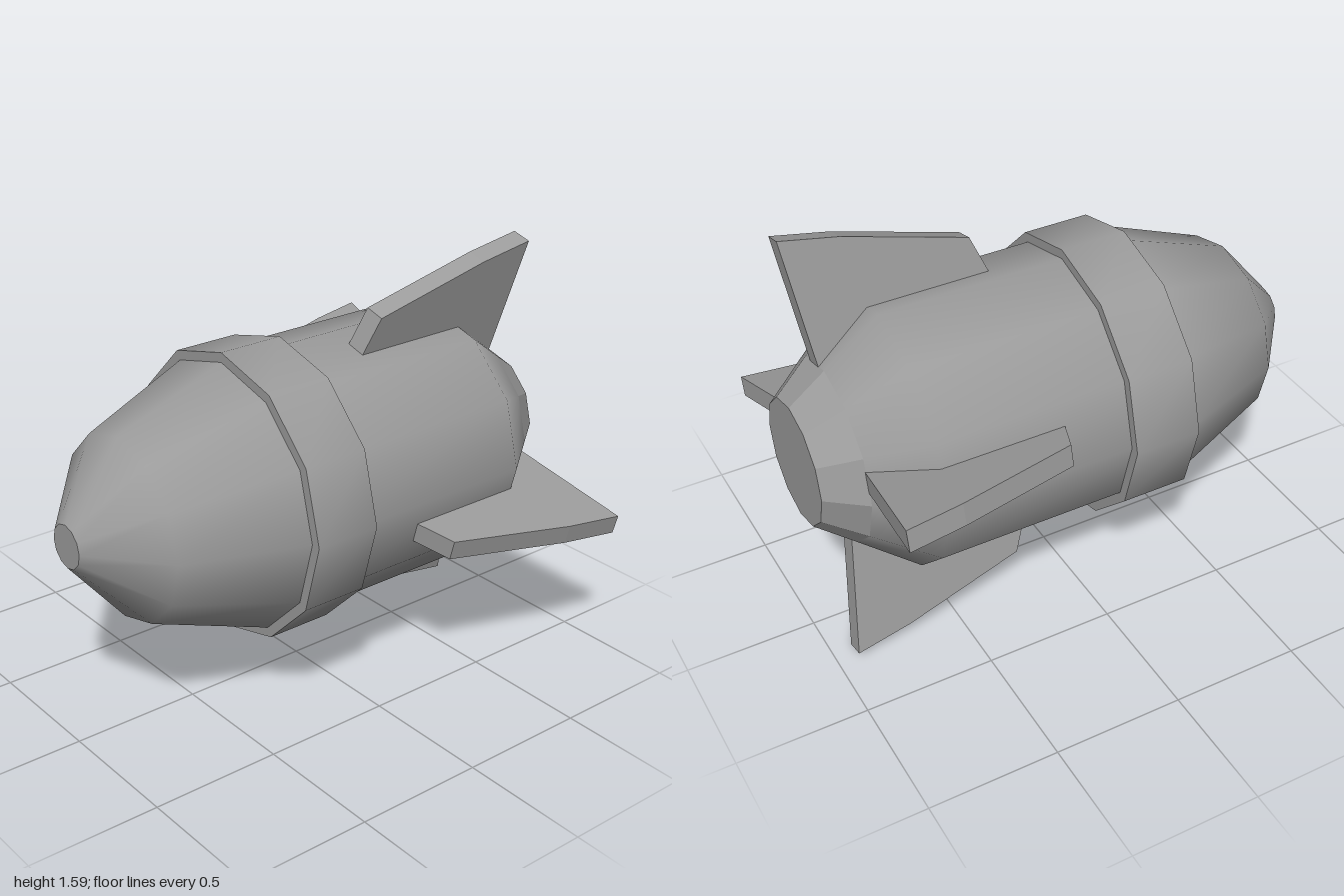
import * as THREE from 'three';
import { toCreasedNormals } from 'three/addons/utils/BufferGeometryUtils.js';

const SIDES = 12;
const AXIS_Y = 0.793;
const FIN_THICKNESS = 0.08;

// Twelve-sided surface turned about the z axis; profile is [radius, z] from back to front
function turned(profile) {
  const points = profile.map(([r, z]) => new THREE.Vector2(r, z));
  return new THREE.LatheGeometry(points, SIDES).rotateX(Math.PI / 2);
}

// Flat disc closing one end; facing is 1 for the front, -1 for the back
function cap(radius, z, facing) {
  const disc = new THREE.CircleGeometry(radius, SIDES);
  if (facing < 0) disc.rotateY(Math.PI);
  return disc.translate(0, 0, z);
}

export function createModel() {
  const material = new THREE.MeshStandardMaterial({ color: 0x9b9b9b });
  const model = new THREE.Group();
  model.name = 'finnedBomb';

  const body = new THREE.Group();
  body.name = 'body';
  body.position.y = AXIS_Y;
  model.add(body);

  const add = (name, geometry) => {
    const mesh = new THREE.Mesh(geometry, material);
    mesh.name = name;
    body.add(mesh);
    return mesh;
  };

  // Smooth hull from the tail to the nose, with a flat nose tip
  add('hull', turned([[0.348, -0.86], [0.512, -0.65], [0.512, 0.335], [0.35, 0.78], [0.083, 1]]));
  add('noseTip', cap(0.083, 1, 1));

  // Faceted end of the tail and its flat back
  add('tailEnd', toCreasedNormals(turned([[0.24, -1], [0.348, -0.86]]), 0.1));
  add('tailCap', cap(0.24, -1, -1));

  // Raised band: smooth around, sharp at its rims
  const band = turned([[0.5, 0.075], [0.549, 0.075], [0.549, 0.335], [0.5, 0.335]]);
  add('band', toCreasedNormals(band, THREE.MathUtils.degToRad(35)));

  // Swept fin outline as (z, radius), its root sunk just inside the hull
  const outline = [
    [-0.165, 0.47], [-0.23, 0.637], [-0.7, 0.768], [-0.92, 0.81], [-0.86, 0.32], [-0.65, 0.47]
  ].map(([z, r]) => new THREE.Vector2(-z, r));
  const finGeometry = new THREE.ExtrudeGeometry(new THREE.Shape(outline), {
    depth: FIN_THICKNESS,
    bevelEnabled: false
  });
  finGeometry.translate(0, 0, -FIN_THICKNESS / 2);
  finGeometry.rotateY(Math.PI / 2);

  // Four fins, each centred on a flat of the hull
  for (let i = 0; i < 4; i++) {
    add(`fin${i + 1}`, finGeometry).rotation.z = -Math.PI / 12 - (i * Math.PI) / 2;
  }

  return model;
}
